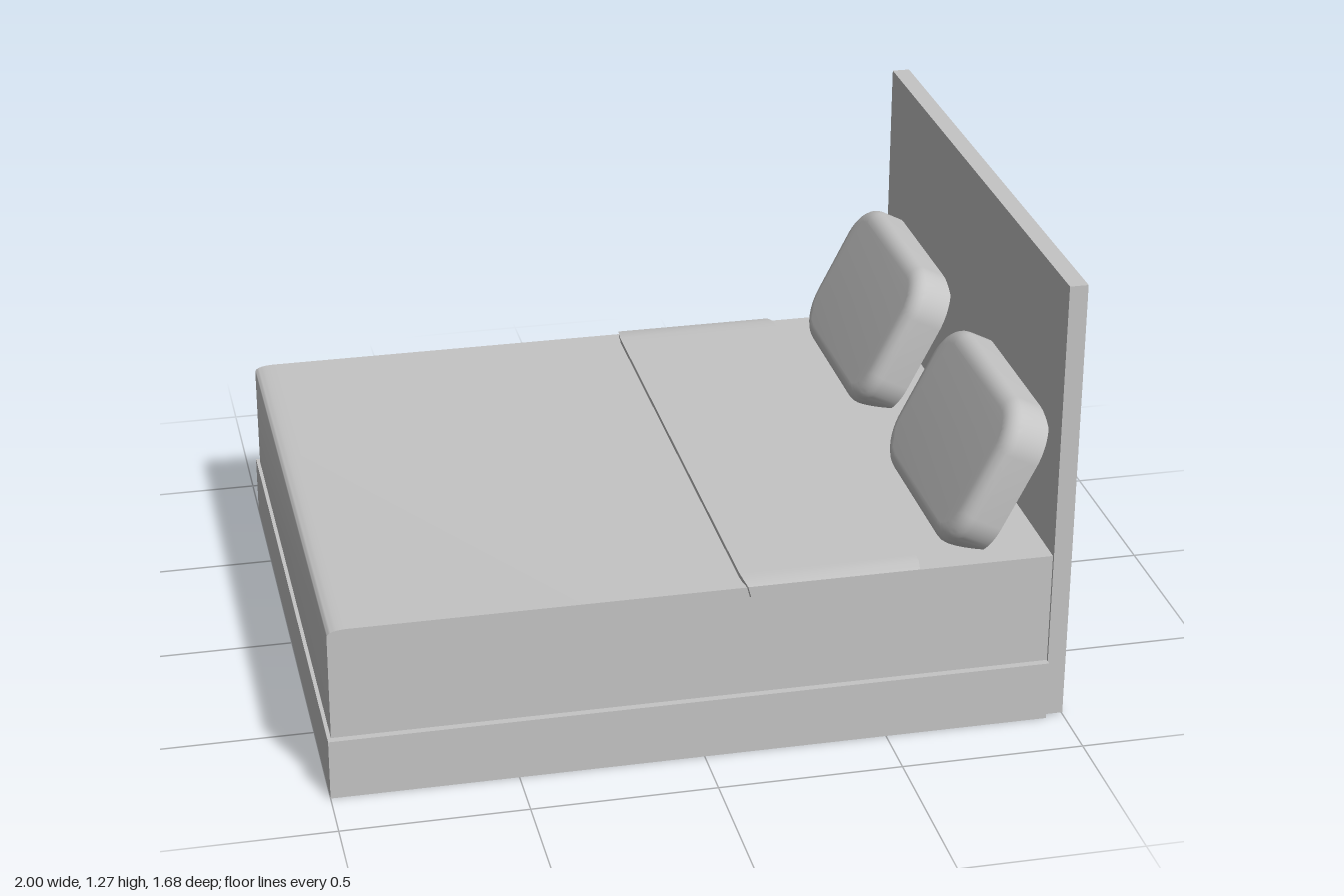
import * as THREE from 'three';
import { toCreasedNormals } from 'three/addons/utils/BufferGeometryUtils.js';

export function createModel() {
  const bed = new THREE.Group();
  bed.name = 'bed';
  const grey = new THREE.MeshStandardMaterial({ color: 0xc4c4c4 });
  grey.name = 'light grey';

  function add(name, geometry) {
    const mesh = new THREE.Mesh(geometry, grey);
    mesh.name = name;
    bed.add(mesh);
    return mesh;
  }
  // Box given by its lower and upper limits on each axis
  function block(name, x0, x1, y0, y1, z0, z1) {
    add(name, new THREE.BoxGeometry(x1 - x0, y1 - y0, z1 - z0))
      .position.set((x0 + x1) / 2, (y0 + y1) / 2, (z0 + z1) / 2);
  }

  block('base', -1, 0.95, 0, 0.17, -0.84, 0.84);
  block('headboard', 0.95, 1, 0.005, 1.27, -0.818, 0.828);

  // Mattress: side profile with a softened top edge at the foot
  const side = new THREE.Shape();
  side.moveTo(-0.99, 0.1);
  side.lineTo(0.95, 0.1);
  side.lineTo(0.95, 0.487);
  side.lineTo(-0.93, 0.487);
  side.quadraticCurveTo(-0.985, 0.487, -0.99, 0.47);
  side.closePath();
  const mattress = new THREE.ExtrudeGeometry(side, { depth: 1.64, bevelEnabled: false, curveSegments: 8 });
  mattress.translate(0, 0, -0.82);
  add('mattress', toCreasedNormals(mattress, 0.6));

  // Folded throw: thin slab whose ends bend down and narrow over the mattress edges
  const throwGeo = new THREE.BoxGeometry(0.482, 0.04, 1.656, 1, 1, 48);
  const p = throwGeo.attributes.position;
  for (let i = 0; i < p.count; i++) {
    const t = Math.max(0, (Math.abs(p.getZ(i)) - 0.76) / 0.068);
    const low = p.getY(i) < 0 ? 1 : 0;
    p.setX(i, p.getX(i) * (1 - 0.035 * t * t - 0.035 * t * low));
    if (!low) p.setY(i, 0.02 - 0.008 * t ** 4);
  }
  throwGeo.translate(0.348, 0.48, 0);
  add('throw', toCreasedNormals(throwGeo, 0.5));

  // Pillow: rounded rectangle with a flat back and a softly rounded front
  const bevel = 0.045, w = 0.33 - bevel, h = 0.2225 - bevel, r = 0.08;
  const outline = new THREE.Shape();
  outline.moveTo(w, h - r);
  outline.absarc(w - r, h - r, r, 0, Math.PI / 2);
  outline.absarc(-w + r, h - r, r, Math.PI / 2, Math.PI);
  outline.absarc(-w + r, -h + r, r, Math.PI, Math.PI * 1.5);
  outline.absarc(w - r, -h + r, r, Math.PI * 1.5, Math.PI * 2);
  const pillow = new THREE.ExtrudeGeometry(outline, {
    depth: 0.075, bevelThickness: 0.04, bevelSize: bevel, bevelSegments: 6, curveSegments: 8,
  });
  const q = pillow.attributes.position;
  for (let i = 0; i < q.count; i++) q.setZ(i, Math.max(0, q.getZ(i)));
  pillow.translate(0, 0, -0.0575);
  // Lean the pillow back against the headboard
  const up = new THREE.Vector3(0.454, 0.891, 0), out = new THREE.Vector3(-0.891, 0.454, 0);
  pillow.applyMatrix4(new THREE.Matrix4().makeBasis(new THREE.Vector3(0, 0, 1), up, out));
  const pillowGeo = toCreasedNormals(pillow, 0.6);
  for (const s of [-1, 1]) {
    add(s < 0 ? 'backPillow' : 'frontPillow', pillowGeo).position.set(0.81, 0.672, s * 0.446);
  }
  return bed;
}
